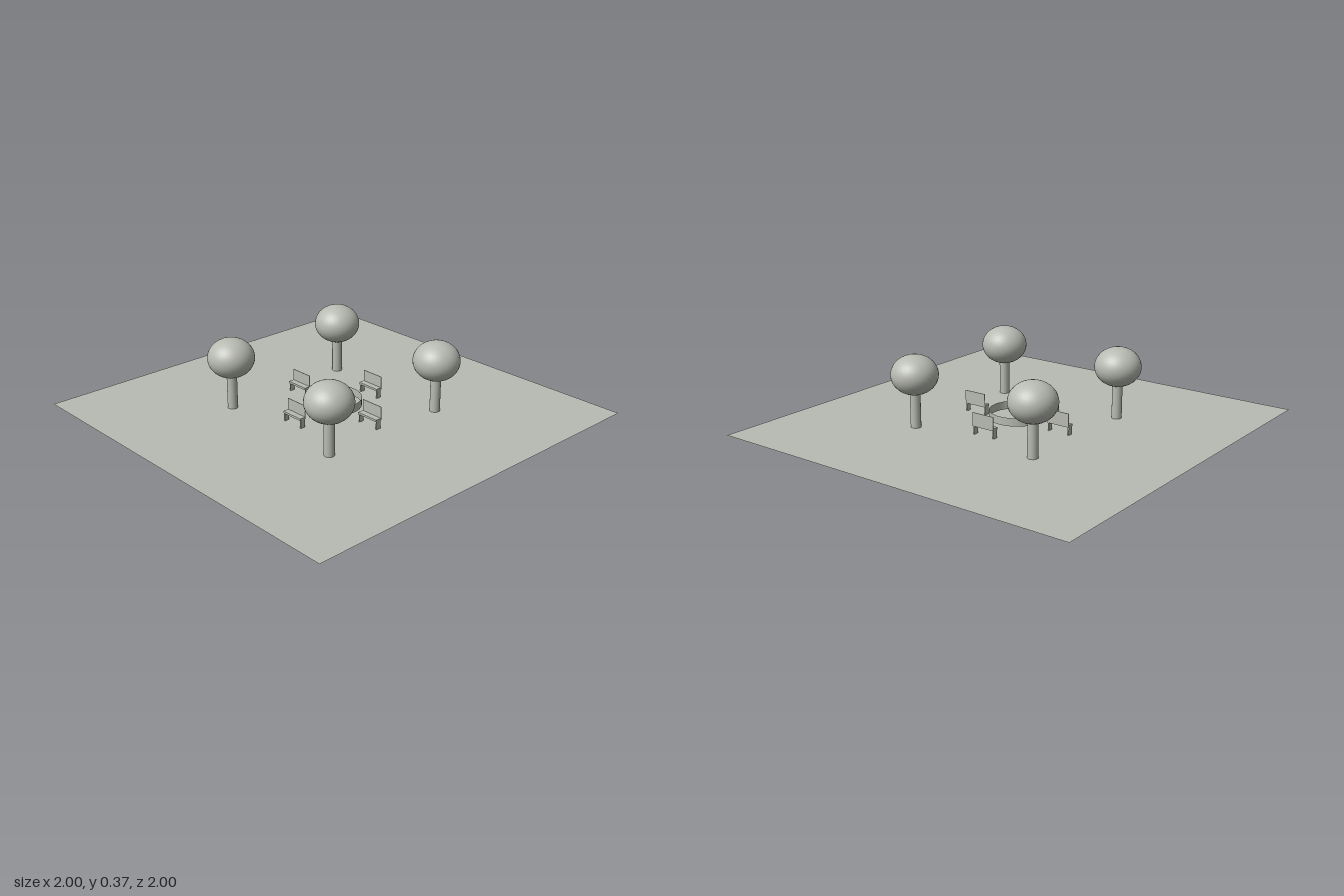
import * as THREE from 'three';

const stone = new THREE.MeshStandardMaterial({ color: 0xb8bbb2, side: THREE.DoubleSide });
stone.name = 'pale grey';

function part(name, geometry, x = 0, y = 0, z = 0) {
  const mesh = new THREE.Mesh(geometry, stone);
  mesh.name = name;
  mesh.position.set(x, y, z);
  return mesh;
}

// Round tree: plain trunk with a slightly flattened crown
function makeTree(x, z) {
  const tree = new THREE.Group();
  tree.name = 'tree';
  const crown = part('crown', new THREE.SphereGeometry(0.118, 32, 20), 0, 0.268, 0);
  crown.scale.y = 0.1 / 0.118;
  tree.add(part('trunk', new THREE.CylinderGeometry(0.026, 0.026, 0.2, 16), 0, 0.1, 0), crown);
  tree.position.set(x, 0, z);
  return tree;
}

// Bench: slab seat, thin upright back on the -z edge, two panel legs
function makeBench(x, z) {
  const bench = new THREE.Group();
  bench.name = 'bench';
  bench.add(
    part('seat', new THREE.BoxGeometry(0.125, 0.011, 0.035), 0, 0.0475, 0),
    part('backrest', new THREE.BoxGeometry(0.125, 0.059, 0.003), 0, 0.0825, -0.016),
  );
  for (const side of [-1, 1]) {
    bench.add(part('leg', new THREE.BoxGeometry(0.006, 0.042, 0.026), side * 0.0585, 0.021, 0));
  }
  bench.position.set(x, 0, z);
  return bench;
}

export function createModel() {
  const model = new THREE.Group();
  model.name = 'plaza';

  // Flat square ground
  model.add(part('ground', new THREE.PlaneGeometry(2, 2).rotateX(-Math.PI / 2)));

  // Open basin wall in the middle
  model.add(part('basinWall', new THREE.CylinderGeometry(0.142, 0.142, 0.042, 32, 1, true), 0, 0.046, 0));

  // Trees on the corners, benches on the axes
  for (const s of [-1, 1]) {
    model.add(makeTree(s * 0.357, 0.357), makeTree(s * 0.357, -0.357));
    model.add(makeBench(s * 0.257, 0), makeBench(0, s * 0.258));
  }
  return model;
}
